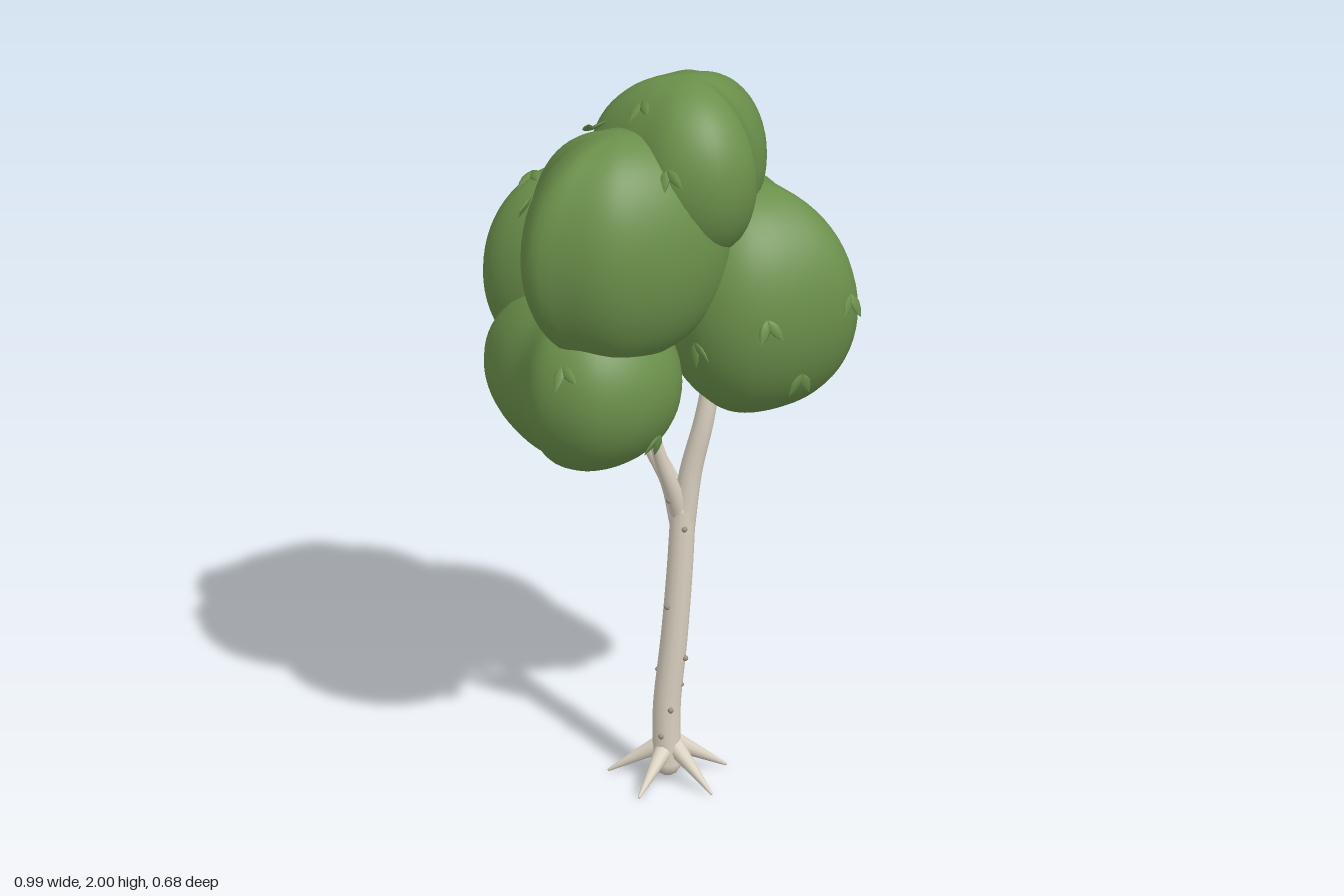
import * as THREE from 'three';
import { mergeVertices } from 'three/addons/utils/BufferGeometryUtils.js';

const V = (x, y, z) => new THREE.Vector3(x, y, z);

// Lumpy crown: a sphere whose plan follows a closed outline of [x, z] points
// (listed left, front, right, back)
function crownGeometry(outline, y0, y1) {
  const curve = new THREE.CatmullRomCurve3(outline.map(([x, z]) => V(x, 0, z)), true);
  const centre = V(0, 0, 0);
  curve.getSpacedPoints(60).slice(1).forEach((p) => centre.addScaledVector(p, 1 / 60));
  centre.y = (y0 + y1) / 2;
  const cols = 56, rows = 32;
  const geo = new THREE.SphereGeometry(1, cols, rows);
  const pos = geo.attributes.position;
  for (let i = 0; i < pos.count; i++) {
    const u = (i % (cols + 1)) / cols;
    const phi = (Math.floor(i / (cols + 1)) / rows) * Math.PI;
    const p = curve.getPointAt(u % 1);
    const s = Math.sin(phi);
    pos.setXYZ(i,
      centre.x + (p.x - centre.x) * s,
      centre.y + Math.cos(phi) * (y1 - y0) / 2,
      centre.z + (p.z - centre.z) * s);
  }
  geo.deleteAttribute('uv');
  geo.deleteAttribute('normal');
  const merged = mergeVertices(geo, 1e-5);
  merged.computeVertexNormals();
  return { geo: merged, centre };
}

// Tapered tube along a smooth path
function limbGeometry(points, r0, r1) {
  const curve = new THREE.CatmullRomCurve3(points);
  const rings = 20, sides = 12;
  const geo = new THREE.TubeGeometry(curve, rings, r0, sides);
  const pos = geo.attributes.position, v = V(0, 0, 0);
  for (let i = 0; i < pos.count; i++) {
    const t = Math.floor(i / (sides + 1)) / rings;
    const p = curve.getPointAt(t);
    v.fromBufferAttribute(pos, i).sub(p).multiplyScalar(THREE.MathUtils.lerp(1, r1 / r0, t)).add(p);
    pos.setXYZ(i, v.x, v.y, v.z);
  }
  return geo;
}

export function createModel() {
  const tree = new THREE.Group();
  tree.name = 'tree';
  const bark = new THREE.MeshStandardMaterial({ name: 'paleBark', color: 0xd9d0c0 });
  const knotMat = new THREE.MeshStandardMaterial({ name: 'darkBark', color: 0x9a9080 });
  const green = new THREE.MeshStandardMaterial({ name: 'leafGreen', color: 0x6a8f4a });

  const add = (name, geo, mat, parent = tree) => {
    const mesh = new THREE.Mesh(geo, mat);
    mesh.name = name;
    parent.add(mesh);
    return mesh;
  };
  const limb = (name, points, r0, r1) => {
    add(name, limbGeometry(points, r0, r1), bark);
    [[points[0], r0], [points[points.length - 1], r1]].forEach(([p, r]) =>
      add(name + 'End', new THREE.SphereGeometry(r, 12, 8), bark).position.copy(p));
  };

  // Trunk and forked branches
  limb('trunk', [V(-0.005, 0.05, 0.02), V(-0.007, 0.2, 0.018), V(0.012, 0.4, 0.015),
    V(0.027, 0.6, 0.008), V(0.035, 0.76, 0)], 0.037, 0.033);
  limb('rightBranch', [V(0.034, 0.72, 0), V(0.055, 0.87, -0.004), V(0.09, 1.02, -0.008), V(0.12, 1.2, -0.03)], 0.033, 0.022);
  limb('backBranch', [V(0.03, 0.72, 0), V(0.0, 0.83, -0.025), V(-0.055, 0.93, -0.05), V(-0.1, 1.03, -0.07)], 0.03, 0.018);
  limb('frontBranch', [V(0.03, 0.74, 0), V(0.005, 0.84, 0.025), V(-0.02, 0.92, 0.04), V(-0.045, 1.02, 0.055)], 0.026, 0.015);

  // Five spiky roots
  for (let i = 0; i < 5; i++) {
    const a = Math.PI / 4 + i * Math.PI * 0.4, c = Math.cos(a), s = Math.sin(a);
    limb('root', [V(c * 0.012, 0.1, 0.01 + s * 0.012), V(c * 0.085, 0.055, 0.01 + s * 0.085),
      V(c * 0.16, 0.007, 0.01 + s * 0.16)], 0.027, 0.004);
  }

  // Small knots on the bark
  [[0.005, 0.21, 0.053], [0.042, 0.35, 0.03], [-0.005, 0.5, 0.04], [0.04, 0.72, 0.034], [0.0, 0.8, 0.03],
    [-0.05, 0.93, -0.028], [-0.02, 0.135, 0.052], [0.03, 0.27, 0.018], [0.05, 0.6, -0.018], [-0.01, 0.4, -0.016],
    [-0.03, 0.3, -0.008], [0.02, 0.68, -0.026]].forEach(([x, y, z]) => {
    add('knot', new THREE.SphereGeometry(0.008, 8, 6), knotMat).position.set(x, y, z);
  });

  // Crown masses
  const crowns = [
    ['topCrown', 1.49, 2.0, [[-0.21, -0.05], [-0.16, 0.04], [-0.1, 0.11], [0.0, 0.2], [0.14, 0.205], [0.23, 0.12],
      [0.22, 0.03], [0.25, -0.07], [0.22, -0.18], [0.12, -0.195], [0.04, -0.215], [-0.1, -0.14]]],
    ['frontCrown', 1.24, 1.88, [[-0.36, 0.06], [-0.38, 0.15], [-0.36, 0.28], [-0.28, 0.31], [-0.14, 0.335], [0.02, 0.27],
      [0.12, 0.18], [0.165, 0.07], [0.1, -0.06], [-0.05, -0.12], [-0.16, -0.135], [-0.25, -0.09], [-0.36, -0.03]]],
    ['lowCrown', 0.915, 1.41, [[-0.485, -0.06], [-0.455, 0.04], [-0.39, 0.13], [-0.34, 0.24], [-0.2, 0.3], [-0.06, 0.25],
      [0.03, 0.13], [0.02, 0], [-0.08, -0.12], [-0.25, -0.16], [-0.42, -0.14]]],
    ['rightCrown', 1.02, 1.67, [[-0.05, -0.12], [-0.01, 0.01], [0.08, 0.13], [0.2, 0.165], [0.36, 0.11], [0.49, -0.01],
      [0.43, -0.11], [0.34, -0.22], [0.29, -0.31], [0.15, -0.335], [0.05, -0.34], [-0.05, -0.25]]],
    ['backCrown', 1.09, 1.68, [[-0.49, -0.13], [-0.47, -0.07], [-0.36, 0], [-0.25, 0.02], [-0.11, -0.05], [-0.05, -0.19],
      [-0.065, -0.31], [-0.14, -0.325], [-0.24, -0.34], [-0.33, -0.28], [-0.4, -0.22]]],
  ].map(([name, y0, y1, outline]) => {
    const { geo, centre } = crownGeometry(outline, y0, y1);
    return { mesh: add(name, geo, green), centre };
  });

  // Leaf pairs resting on the crowns: [crown index, x, y, z]
  const profile = [[0, 0], [0.01, 0.014], [0.015, 0.03], [0.011, 0.05], [0, 0.072]];
  const leafGeo = new THREE.LatheGeometry(profile.map(([x, y]) => new THREE.Vector2(x, y)), 8).scale(1, 1, 0.35);
  const ray = new THREE.Raycaster();
  [[0, 0.01, 1.8, 0.21], [0, -0.08, 1.95, 0.07], [1, -0.2, 1.87, 0.04], [1, -0.35, 1.67, 0.12],
    [2, -0.26, 1.26, 0.27], [2, -0.04, 1.04, 0.18], [3, 0.08, 1.27, 0.14], [3, 0.26, 1.35, 0.14],
    [3, 0.34, 1.17, 0.08], [3, 0.47, 1.37, 0.03], [3, 0.16, 1.53, -0.32], [4, -0.36, 1.64, -0.12],
    [4, -0.36, 1.25, -0.24], [4, -0.12, 1.34, -0.32]].forEach(([k, x, y, z]) => {
    const { mesh, centre } = crowns[k];
    const out = V(x, y, z).sub(centre).normalize();
    ray.set(centre.clone().addScaledVector(out, 2), out.clone().negate());
    const hit = ray.intersectObject(mesh)[0];
    if (!hit) return;
    const n = hit.face.normal.clone();
    const down = V(0.3, -0.8, 0.5).projectOnPlane(n).normalize();
    const pair = new THREE.Group();
    pair.name = 'leafPair';
    pair.position.copy(hit.point).addScaledVector(n, 0.004).addScaledVector(down, -0.03);
    [-0.45, 0.45].forEach((turn) => {
      const yAxis = down.clone().applyAxisAngle(n, turn).addScaledVector(n, 0.25).normalize();
      const xAxis = yAxis.clone().cross(n).normalize();
      const leaf = add('leaf', leafGeo, green, pair);
      leaf.quaternion.setFromRotationMatrix(
        new THREE.Matrix4().makeBasis(xAxis, yAxis, xAxis.clone().cross(yAxis)));
    });
    tree.add(pair);
  });

  return tree;
}
